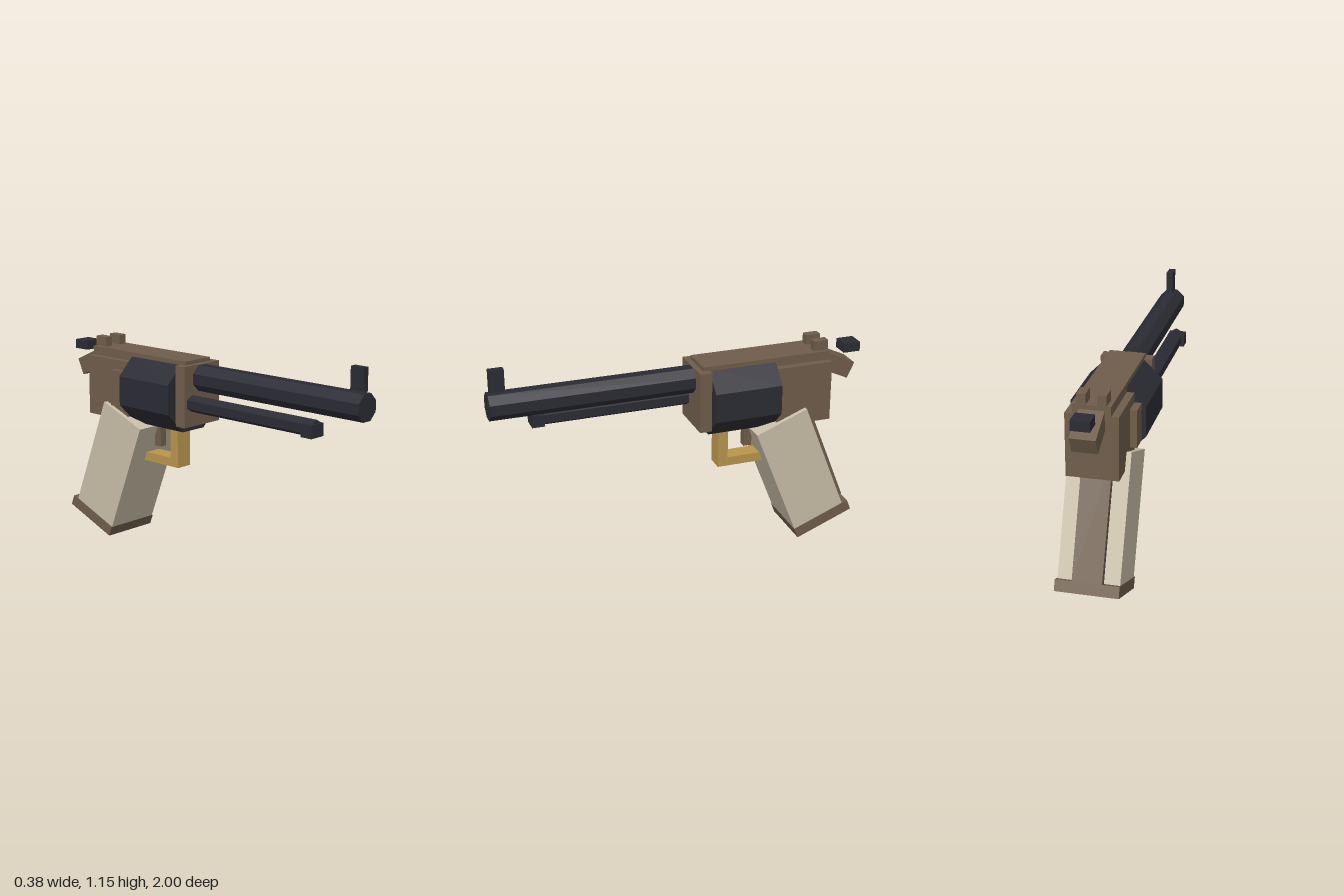
import * as THREE from 'three';

const material = (name, color) => {
  const m = new THREE.MeshStandardMaterial({ color, flatShading: true });
  m.name = name;
  return m;
};

export function createModel() {
  const steel = material('dark steel', 0x2b2b34);
  const brown = material('brown metal', 0x6f5d4b);
  const cream = material('cream grip', 0xc9bfa8);
  const brass = material('brass', 0xb9954d);

  const model = new THREE.Group();
  model.name = 'revolver';

  const add = (name, geometry, mat, parent = model) => {
    const mesh = new THREE.Mesh(geometry, mat);
    mesh.name = name;
    parent.add(mesh);
    return mesh;
  };

  // Box given by its limits on each axis
  const box = (name, mat, [x0, x1], [y0, y1], [z0, z1], parent = model) => {
    const mesh = add(name, new THREE.BoxGeometry(x1 - x0, y1 - y0, z1 - z0), mat, parent);
    mesh.position.set((x0 + x1) / 2, (y0 + y1) / 2, (z0 + z1) / 2);
    return mesh;
  };

  // Faceted bar along z; turn sets the angle of its first corner
  const bar = (name, mat, radius, sides, turn, x, y, z0, z1) => {
    const geometry = new THREE.CylinderGeometry(radius, radius, z1 - z0, sides);
    geometry.rotateY(turn).rotateX(Math.PI / 2);
    const mesh = add(name, geometry, mat);
    mesh.position.set(x, y, (z0 + z1) / 2);
    return mesh;
  };

  // Barrel, ejector and cylinder
  const octagon = Math.cos(Math.PI / 8);
  bar('barrel', steel, 0.067 / octagon, 8, Math.PI / 8, 0, 0.961, -0.1, 1);
  box('frontSight', steel, [-0.017, 0.017], [1.035, 1.153], [0.91, 0.987]);
  bar('ejectorRod', steel, 0.045, 6, 0, -0.075, 0.834, -0.1, 0.76);
  box('ejectorTip', steel, [-0.129, -0.037], [0.794, 0.86], [0.705, 0.772]);
  bar('cylinder', steel, 0.188 / octagon, 8, Math.PI / 8, 0, 0.857, -0.495, -0.13);

  // Frame
  box('frameFront', brown, [-0.132, 0.132], [0.71, 1.033], [-0.13, -0.066]);
  box('frameRear', brown, [-0.13, 0.13], [0.68, 1.005], [-0.8, -0.495]);
  box('topStrap', brown, [-0.093, 0.093], [1.003, 1.053], [-0.8, -0.095]);
  box('loadingGate', brown, [-0.166, -0.12], [0.76, 0.955], [-0.59, -0.49]);
  for (const side of [-1, 1]) {
    const sight = box('rearSight', brown, [-0.022, 0.022], [1.05, 1.106], [-0.799, -0.72]);
    sight.position.x = side * 0.05;
  }

  // Hammer and its spur
  const hammer = add('hammer', new THREE.BoxGeometry(0.126, 0.092, 0.19), brown);
  hammer.position.set(0, 0.953, -0.858);
  hammer.rotation.x = -0.436;
  box('hammerSpur', steel, [-0.047, 0.047], [1.01, 1.06], [-1, -0.907]);

  // Trigger and guard
  box('guardFront', brass, [-0.047, 0.047], [0.455, 0.69], [-0.255, -0.2]);
  box('guardBottom', brass, [-0.047, 0.047], [0.455, 0.503], [-0.52, -0.255]);
  box('trigger', brown, [-0.02, 0.02], [0.542, 0.7], [-0.4, -0.355]);

  // Raked grip with backstrap and butt cap
  const grip = new THREE.Group();
  grip.name = 'grip';
  grip.position.set(0, 0.414, -0.633);
  grip.rotation.x = 0.376;
  model.add(grip);
  box('gripPanels', cream, [-0.155, 0.155], [-0.32, 0.32], [-0.15, 0.15], grip);
  box('backstrap', brown, [-0.075, 0.075], [-0.32, 0.31], [-0.188, -0.1], grip);
  box('buttCap', brown, [-0.16, 0.16], [-0.378, -0.32], [-0.182, 0.152], grip);

  return model;
}
